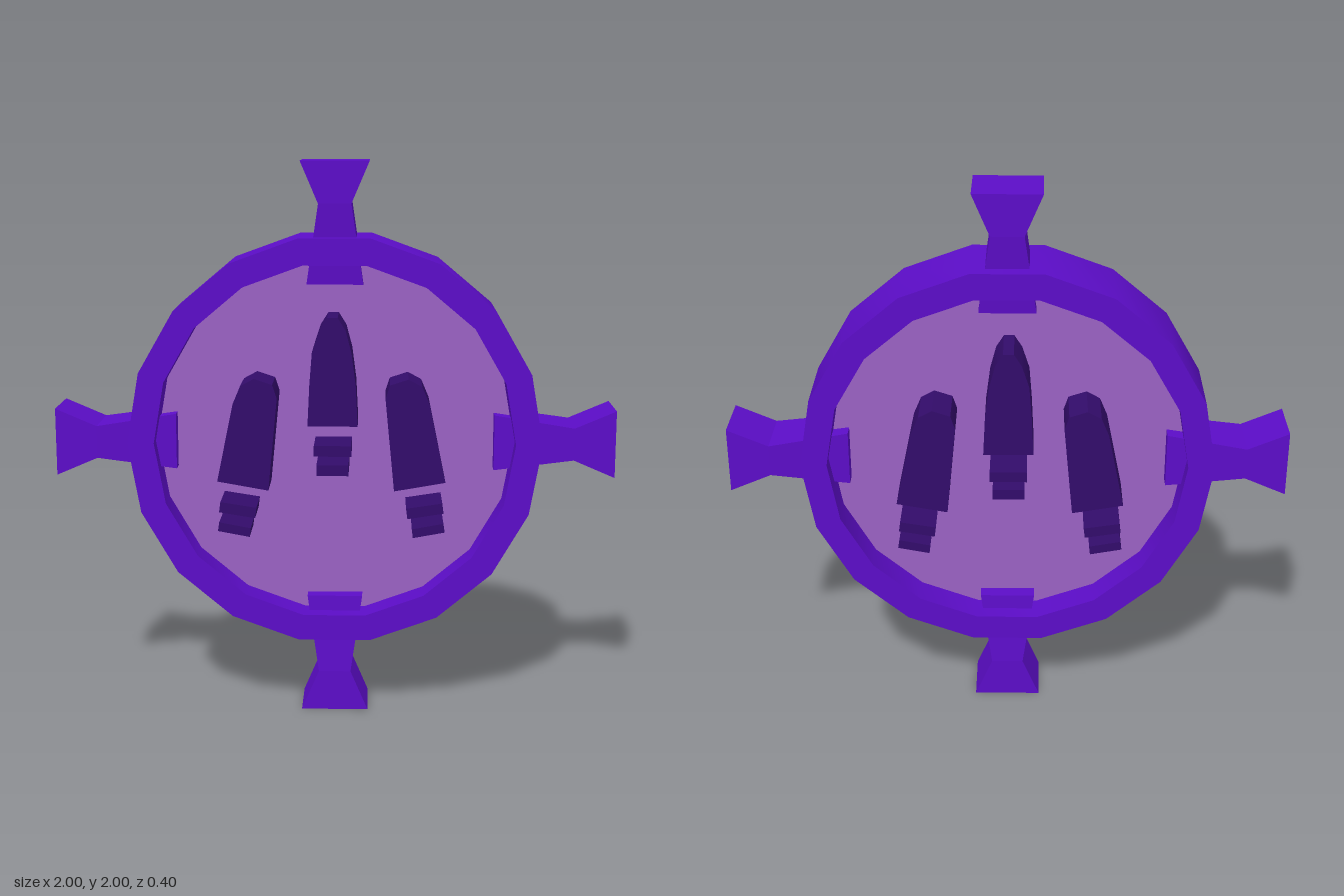
import * as THREE from 'three';
import { toCreasedNormals } from 'three/addons/utils/BufferGeometryUtils.js';

const purple = new THREE.MeshStandardMaterial({ color: 0x5c0dc8 });
const dark = new THREE.MeshStandardMaterial({ color: 0x330c6b });
const lilac = new THREE.MeshStandardMaterial({ color: 0x9a62c4 });

const SIDES = 18;
const MIRROR_X = -0.01; // symmetry line of the face emblem

function polygon(radius) {
  return Array.from({ length: SIDES }, (_, i) => {
    const a = (i / SIDES) * Math.PI * 2;
    return new THREE.Vector2(radius * Math.cos(a), radius * Math.sin(a));
  });
}

// Extrude a shape symmetrically about z = 0
function slab(shape, halfDepth) {
  const geo = new THREE.ExtrudeGeometry(shape, { depth: halfDepth * 2, bevelEnabled: false });
  geo.translate(0, 0, -halfDepth);
  return toCreasedNormals(geo, 0.45);
}

// Box along +y with a waist: rows are [distance, half width, half depth]
function armGeometry() {
  const rows = [[0.57, 0.1, 0.082], [0.853, 0.058, 0.104], [1, 0.121, 0.104]];
  const box = new THREE.BoxGeometry(2, 2, 2, 1, 2, 1);
  const p = box.attributes.position;
  for (let i = 0; i < p.count; i++) {
    const [y, w, d] = rows[Math.round(p.getY(i)) + 1];
    p.setXYZ(i, p.getX(i) * w, y, p.getZ(i) * d);
  }
  const geo = box.toNonIndexed();
  geo.computeVertexNormals();
  return geo;
}

export function createModel() {
  const model = new THREE.Group();
  const add = (name, geo, mat, y = 0) => {
    const mesh = new THREE.Mesh(geo, mat);
    mesh.name = name;
    mesh.position.y = y;
    model.add(mesh);
    return mesh;
  };

  // Faceted outer ring and the thin pane inside it
  const ring = new THREE.Shape(polygon(0.738));
  ring.holes.push(new THREE.Path(polygon(0.643)));
  add('ring', slab(ring, 0.145), purple, 1.009);
  add('pane', slab(new THREE.Shape(polygon(0.65)), 0.03), lilac, 1.009);

  // Four flared arms passing through the ring
  const arm = armGeometry();
  ['topArm', 'leftArm', 'bottomArm', 'rightArm'].forEach((name, i) => {
    add(name, arm, purple, i % 2 ? 1.005 : 1).rotation.z = -i * Math.PI / 2;
  });

  // Emblem: pointed blades, each with two bars beneath, through both faces
  const middle = {
    blade: [[-0.093, 1.085], [0.083, 1.085], [0.076, 1.23], [0.061, 1.345], [0.04, 1.424],
      [0.013, 1.467], [-0.024, 1.467], [-0.051, 1.424], [-0.077, 1.345], [-0.086, 1.23]],
    upperBar: [[-0.071, 0.977], [0.061, 0.977], [0.061, 1.015], [-0.071, 1.015]],
    lowerBar: [[-0.062, 0.907], [0.051, 0.907], [0.051, 0.945], [-0.062, 0.945]],
  };
  const side = {
    blade: [[-0.413, 0.885], [-0.232, 0.853], [-0.2, 1.184], [-0.216, 1.232],
      [-0.28, 1.253], [-0.328, 1.227], [-0.355, 1.163]],
    upperBar: [[-0.403, 0.81], [-0.275, 0.79], [-0.28, 0.752], [-0.408, 0.773]],
    lowerBar: [[-0.408, 0.736], [-0.296, 0.715], [-0.3, 0.683], [-0.413, 0.704]],
  };
  const addEmblem = (prefix, parts, mirrored) => {
    for (const [part, pts] of Object.entries(parts)) {
      const outline = pts.map(([x, y]) => new THREE.Vector2(mirrored ? 2 * MIRROR_X - x : x, y));
      add(`${prefix} ${part}`, slab(new THREE.Shape(outline), 0.2), dark);
    }
  };
  addEmblem('middle', middle, false);
  addEmblem('right', side, false);
  addEmblem('left', side, true);

  return model;
}
